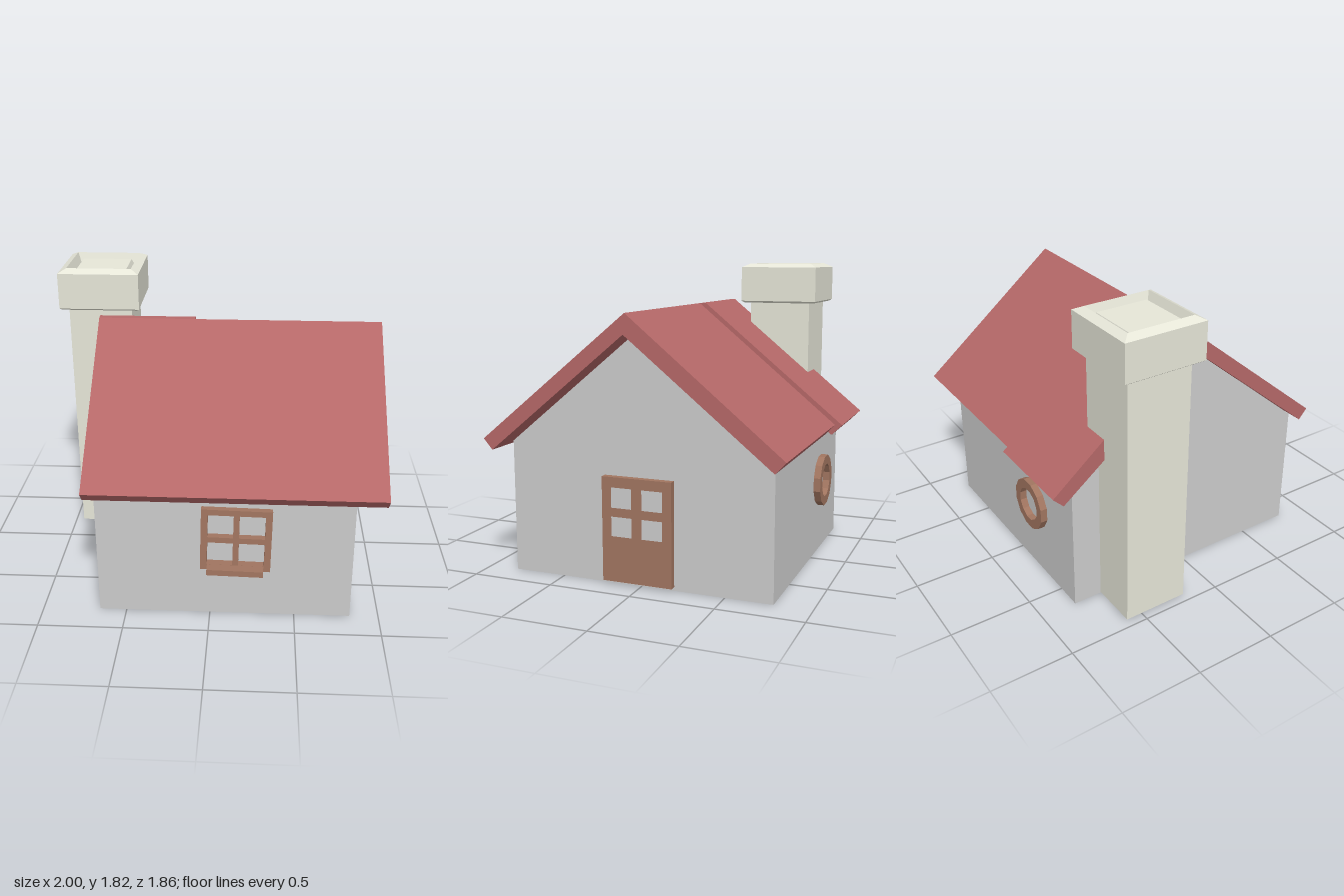
import * as THREE from 'three';

const paint = (color) => new THREE.MeshStandardMaterial({ color, flatShading: true });

function shapeOf(points, holes = []) {
  const shape = new THREE.Shape(points.map(([x, y]) => new THREE.Vector2(x, y)));
  for (const h of holes) shape.holes.push(new THREE.Path(h.map(([x, y]) => new THREE.Vector2(x, y))));
  return shape;
}

const rect = (x0, x1, y0, y1) => [[x0, y0], [x1, y0], [x1, y1], [x0, y1]];

const circle = (r, n) => Array.from({ length: n }, (_, i) => {
  const a = ((i + 0.5) / n) * Math.PI * 2;
  return [r * Math.cos(a), r * Math.sin(a)];
});

// four panes from two column and two row ranges
const panes = (cols, rows) => cols.flatMap((c) => rows.map((r) => rect(...c, ...r)));

const slab = (shape, depth) => new THREE.ExtrudeGeometry(shape, { depth, bevelEnabled: false });

// outline given as [z, y], swept along x from x0 to x1
function alongX(points, x0, x1, holes = []) {
  const flip = (list) => list.map(([z, y]) => [-z, y]);
  return slab(shapeOf(flip(points), holes.map(flip)), x1 - x0).rotateY(Math.PI / 2).translate(x0, 0, 0);
}

export function createModel() {
  const house = new THREE.Group();
  house.name = 'house';
  const wall = paint(0xcccccc);
  const roof = paint(0xb56868);
  const wood = paint(0xa17560);
  const stone = paint(0xe6e6d8);

  const add = (name, geometry, material, parent = house) => {
    const mesh = new THREE.Mesh(geometry, material);
    mesh.name = name;
    parent.add(mesh);
    return mesh;
  };

  // walls with gables
  add('walls', alongX([[0.82, 0], [0.82, 0.79], [0.02, 1.45], [-0.78, 0.79], [-0.78, 0]], -0.66, 0.83), wall);

  // roof: front slope, back slope and a thicker back section by the chimney
  add('roofFront', alongX([[0.01, 1.565], [0.91, 0.828], [0.855, 0.765], [0.02, 1.45]], -0.72, 1), roof);
  add('roofBack', alongX([[0.01, 1.565], [-0.885, 0.83], [-0.825, 0.765], [0.02, 1.45]], -0.13, 1), roof);
  add('roofBackRaised',
    alongX([[0.01, 1.565], [-0.03, 1.567], [-0.93, 0.83], [-0.865, 0.765], [0.02, 1.45]], -0.72, -0.13), roof);

  // square chimney: half-width and height, ending in a recessed top with a raised plug
  const profile = [
    [0, 0.005], [0.2, 0.005], [0.2, 1.555], [0.235, 1.555], [0.252, 1.567], [0.252, 1.79],
    [0.203, 1.815], [0.18, 1.75], [0.172, 1.75], [0.158, 1.785], [0, 1.785],
  ].map(([r, y]) => new THREE.Vector2(r * Math.SQRT2, y));
  add('chimney', new THREE.LatheGeometry(profile, 4, Math.PI / 4), stone).position.set(-0.748, 0, -0.403);

  // door with four openings
  add('door', alongX(rect(-0.2, 0.225, 0.022, 0.635), 0.825, 0.87,
    panes([[0.043, 0.168], [-0.145, -0.02]], [[0.29, 0.405], [0.457, 0.575]])), wood);

  // slightly crooked front window with sill
  const window = new THREE.Group();
  window.name = 'frontWindow';
  window.position.set(0.153, 0.525, 0.815);
  window.rotation.set(-0.03, 0, -0.022);
  house.add(window);
  add('windowFrame', slab(shapeOf(rect(-0.203, 0.203, -0.195, 0.195),
    panes([[-0.165, -0.017], [0.017, 0.165]], [[-0.16, -0.016], [0.018, 0.16]])), 0.05), wood, window);
  const sill = add('windowSill', new THREE.BoxGeometry(0.325, 0.035, 0.11), wood, window);
  sill.position.set(0, -0.178, 0.057);

  // faceted round window on the back wall
  add('roundWindow', slab(shapeOf(circle(0.162, 12), [circle(0.105, 12)]), 0.045), wood)
    .position.set(-0.2, 0.458, -0.822);

  return house;
}
